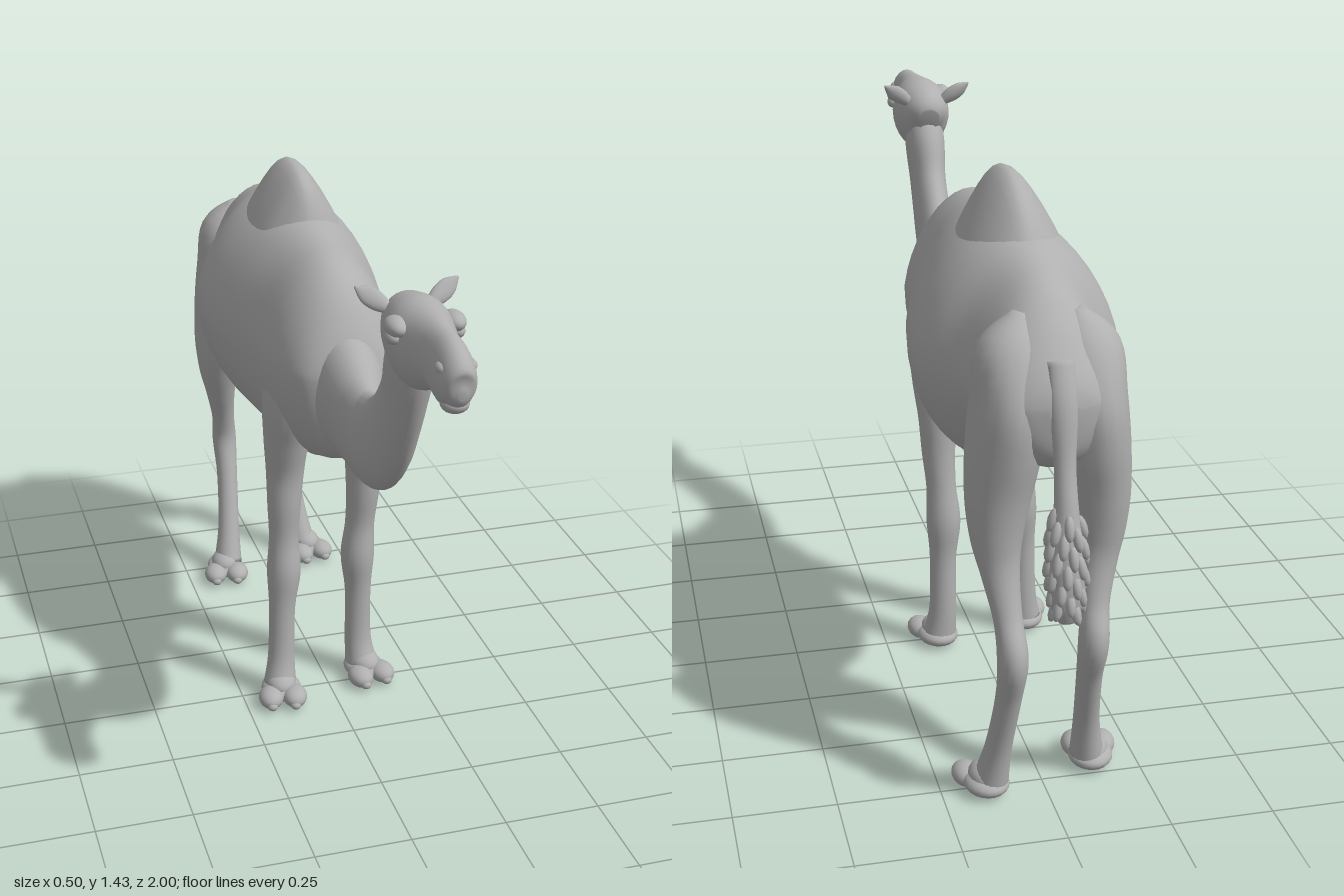
import * as THREE from 'three';

const coat = new THREE.MeshStandardMaterial({ color: 0xb0b0b0 });
coat.name = 'greyCoat';

// Smooth interpolation through the rows of a section table
function sampleRows(rows, t) {
  const f = t * (rows.length - 1), i = Math.min(Math.floor(f), rows.length - 2), u = f - i;
  const at = k => rows[Math.max(0, Math.min(rows.length - 1, k))];
  const [a, b, c, d] = [at(i - 1), at(i), at(i + 1), at(i + 2)];
  return b.map((v, k) => 0.5 * (2 * v + (c[k] - a[k]) * u + (2 * a[k] - 5 * v + 4 * c[k] - d[k]) * u * u
    + (3 * v - a[k] - 3 * c[k] + d[k]) * u * u * u));
}

// Closed loft. Row: x, y, z, half width, upper (or front) radius, lower (or back) radius
function loft(name, rows, { sides = 28, per = 5, pinch = 0 } = {}) {
  const n = (rows.length - 1) * per, pos = [], index = [];
  const rings = Array.from({ length: n + 1 }, (_, i) => sampleRows(rows, i / n));
  const centre = i => new THREE.Vector3(...rings[Math.max(0, Math.min(n, i))].slice(0, 3));
  for (let i = 0; i <= n; i++) {
    const c = centre(i), T = centre(i + 1).sub(centre(i - 1)).normalize();
    const X = new THREE.Vector3(1, 0, 0).addScaledVector(T, -T.x).normalize();
    const U = new THREE.Vector3().crossVectors(T, X);
    const [rx, up, down] = rings[i].slice(3).map(r => Math.max(r, 0.002));
    for (let j = 0; j < sides; j++) {
      const a = j / sides * Math.PI * 2, s = Math.sin(a);
      const p = c.clone().addScaledVector(X, rx * Math.cos(a) * (1 - pinch * Math.max(0, s)))
        .addScaledVector(U, s * (s > 0 ? up : down));
      pos.push(p.x, p.y, p.z);
    }
  }
  for (let i = 0; i < n; i++) for (let j = 0; j < sides; j++) {
    const k = (j + 1) % sides, a = i * sides + j, b = i * sides + k;
    index.push(a, b, b + sides, a, b + sides, a + sides);
  }
  const first = pos.length / 3, e = n * sides;
  pos.push(...centre(0).toArray(), ...centre(n).toArray());
  for (let j = 0; j < sides; j++) {
    const k = (j + 1) % sides;
    index.push(first, k, j, first + 1, e + j, e + k);
  }
  const g = new THREE.BufferGeometry();
  g.setAttribute('position', new THREE.Float32BufferAttribute(pos, 3));
  g.setIndex(index);
  g.computeVertexNormals();
  const mesh = new THREE.Mesh(g, coat);
  mesh.name = name;
  return mesh;
}

// Ellipsoid by centre and radii
function blob(name, [x, y, z], [rx, ry, rz], detail = 20) {
  const mesh = new THREE.Mesh(new THREE.SphereGeometry(1, detail, Math.ceil(detail * 0.6)), coat);
  mesh.name = name;
  mesh.position.set(x, y, z);
  mesh.scale.set(rx, ry, rz);
  return mesh;
}

// Broad two-toed foot
function foot(name, x, z, turn) {
  const g = new THREE.Group();
  g.name = name;
  g.add(blob('footPad', [0, 0.029, -0.015], [0.055, 0.029, 0.065]));
  g.add(blob('instep', [0, 0.045, -0.012], [0.042, 0.035, 0.052]));
  for (const s of [-1, 1]) {
    g.add(blob('toe', [s * 0.033, 0.028, 0.035], [0.034, 0.028, 0.045]));
    g.add(blob('toenail', [s * 0.032, 0.02, 0.07], [0.015, 0.013, 0.016], 12));
  }
  g.position.set(x, 0, z);
  g.rotation.y = turn;
  return g;
}

// Leg on one side; the lower part is moved by dx outwards and dz forwards for the stride
function leg(name, rows, side, dx, dz, footAt) {
  const g = new THREE.Group();
  g.name = name;
  const moved = rows.map(([x, y, z, ...r]) => {
    const t = 1 - THREE.MathUtils.smoothstep(y, 0.1, 0.95);
    return [side * (x + dx * t), y, z + dz * t, ...r];
  });
  g.add(loft('limb', moved, { sides: 20 }));
  g.add(foot('foot', side * (footAt[0] + dx), footAt[1] + dz, side * 0.15));
  return g;
}

const frontLeg = [
  [0.08, 1.12, 0, 0.02, 0.02, 0.02], [0.09, 1.05, 0, 0.065, 0.08, 0.07],
  [0.108, 0.9, 0, 0.068, 0.1, 0.08], [0.11, 0.78, -0.012, 0.06, 0.075, 0.065],
  [0.107, 0.68, -0.025, 0.051, 0.056, 0.054], [0.105, 0.58, -0.028, 0.045, 0.047, 0.047],
  [0.1, 0.48, -0.036, 0.04, 0.041, 0.042], [0.095, 0.38, -0.04, 0.046, 0.05, 0.047],
  [0.097, 0.27, -0.04, 0.036, 0.037, 0.036], [0.098, 0.12, -0.04, 0.037, 0.036, 0.036],
  [0.105, 0.04, -0.03, 0.045, 0.05, 0.045],
];
const backLeg = [
  [0.06, 1.2, -0.74, 0.02, 0.02, 0.02], [0.078, 1.12, -0.75, 0.085, 0.08, 0.09],
  [0.093, 1.0, -0.755, 0.085, 0.11, 0.135], [0.105, 0.88, -0.76, 0.085, 0.11, 0.125],
  [0.12, 0.77, -0.775, 0.074, 0.1, 0.09], [0.125, 0.68, -0.79, 0.06, 0.075, 0.065],
  [0.12, 0.6, -0.812, 0.045, 0.055, 0.042], [0.11, 0.5, -0.845, 0.034, 0.036, 0.034],
  [0.105, 0.41, -0.872, 0.036, 0.036, 0.048], [0.108, 0.3, -0.85, 0.031, 0.034, 0.034],
  [0.12, 0.15, -0.805, 0.032, 0.034, 0.036], [0.132, 0.04, -0.775, 0.042, 0.05, 0.05],
];

export function createModel() {
  const model = new THREE.Group();
  model.name = 'camel';

  // Torso, from rump to chest: z, half width, top, bottom
  const torso = [
    [-0.9, 0.03, 1.04, 0.98], [-0.885, 0.085, 1.08, 0.91], [-0.85, 0.13, 1.13, 0.87],
    [-0.79, 0.158, 1.195, 0.85], [-0.71, 0.162, 1.255, 0.83], [-0.61, 0.19, 1.285, 0.795],
    [-0.51, 0.238, 1.31, 0.735], [-0.4, 0.25, 1.32, 0.705], [-0.25, 0.228, 1.315, 0.7],
    [-0.1, 0.195, 1.297, 0.71], [0.04, 0.178, 1.277, 0.735], [0.13, 0.152, 1.22, 0.765],
    [0.19, 0.115, 1.13, 0.805], [0.22, 0.06, 1.05, 0.87],
  ].map(([z, w, top, bottom]) => [0, 1.02, z, w, top - 1.02, 1.02 - bottom]);
  model.add(loft('torso', torso, { sides: 40, pinch: 0.2 }));
  model.add(blob('chestPad', [0, 0.735, -0.07], [0.06, 0.045, 0.06]));

  // Hump: z, half width, top
  const hump = [
    [-0.59, 0.03, 1.23], [-0.55, 0.09, 1.3], [-0.5, 0.12, 1.365], [-0.43, 0.14, 1.412],
    [-0.35, 0.145, 1.427], [-0.26, 0.13, 1.412], [-0.215, 0.1, 1.375], [-0.185, 0.07, 1.3], [-0.17, 0.03, 1.23],
  ].map(([z, w, top]) => [0, 1.2, z, w, top - 1.2, 0.08]);
  model.add(loft('hump', hump, { pinch: 0.5 }));

  // Neck: y, z, half width, upper and lower radius
  const neck = [
    [0.97, 0.08, 0.1, 0.17, 0.17], [0.965, 0.2, 0.093, 0.153, 0.16], [0.942, 0.29, 0.068, 0.125, 0.138],
    [0.93, 0.37, 0.055, 0.123, 0.124], [0.958, 0.455, 0.053, 0.115, 0.115], [1.015, 0.525, 0.052, 0.104, 0.104],
    [1.085, 0.58, 0.05, 0.092, 0.092], [1.16, 0.625, 0.05, 0.083, 0.083], [1.25, 0.66, 0.055, 0.08, 0.08],
    [1.33, 0.69, 0.05, 0.06, 0.06],
  ].map(r => [0, ...r]);
  model.add(loft('neck', neck));

  // Head, from nape to lips
  const head = new THREE.Group();
  head.name = 'head';
  head.add(loft('skull', [
    [1.33, 0.6, 0.03, 0.03, 0.04], [1.34, 0.63, 0.06, 0.065, 0.07], [1.335, 0.69, 0.076, 0.088, 0.1],
    [1.33, 0.75, 0.077, 0.092, 0.112], [1.33, 0.81, 0.06, 0.088, 0.088], [1.33, 0.87, 0.047, 0.083, 0.066],
    [1.325, 0.93, 0.045, 0.083, 0.074], [1.315, 0.97, 0.042, 0.07, 0.06], [1.307, 0.99, 0.03, 0.045, 0.04],
    [1.305, 1, 0.008, 0.012, 0.012],
  ].map(r => [0, ...r])));
  head.add(blob('lowerLip', [0, 1.272, 0.955], [0.032, 0.022, 0.032]));
  for (const s of [-1, 1]) {
    head.add(blob('brow', [s * 0.066, 1.375, 0.755], [0.026, 0.022, 0.04]));
    head.add(blob('eye', [s * 0.073, 1.352, 0.757], [0.018, 0.017, 0.024], 14));
    head.add(blob('nostril', [s * 0.03, 1.355, 0.955], [0.016, 0.014, 0.022], 14));
    // Leaf-shaped ear pointing out and back
    const ear = new THREE.Group();
    ear.name = 'ear';
    ear.add(loft('earLeaf', [
      [0, 0, 0, 0.014, 0.014, 0.014], [0, 0.03, 0, 0.022, 0.012, 0.016],
      [0, 0.06, 0, 0.02, 0.008, 0.012], [0, 0.088, 0, 0.003, 0.003, 0.003],
    ].reverse(), { sides: 14 }));
    ear.position.set(s * 0.05, 1.375, 0.645);
    ear.rotation.set(-0.35, 0, -s * 0.92);
    head.add(ear);
  }
  model.add(head);

  // Legs, the right pair a little ahead of the left
  model.add(leg('leftFrontLeg', frontLeg, 1, 0, 0, [0.112, -0.005]));
  model.add(leg('rightFrontLeg', frontLeg, -1, 0.04, 0.045, [0.107, -0.005]));
  model.add(leg('leftBackLeg', backLeg, 1, 0, 0, [0.145, -0.755]));
  model.add(leg('rightBackLeg', backLeg, -1, -0.008, 0.065, [0.145, -0.755]));

  // Tail with a shaggy tuft of overlapping locks
  const tail = new THREE.Group();
  tail.name = 'tail';
  tail.add(loft('tailStem', [
    [1.12, -0.855, 0.03, 0.02, 0.02], [1.03, -0.89, 0.032, 0.03, 0.022], [0.9, -0.908, 0.025, 0.025, 0.022],
    [0.8, -0.925, 0.028, 0.03, 0.03], [0.73, -0.932, 0.036, 0.038, 0.038], [0.65, -0.938, 0.041, 0.044, 0.044],
    [0.58, -0.942, 0.038, 0.038, 0.036], [0.535, -0.942, 0.02, 0.02, 0.02],
  ].map(r => [0, ...r]), { sides: 16 }));
  for (let i = 0; i < 44; i++) {
    const t = i / 43, a = i * 2.4, r = 0.024 + 0.016 * Math.sin(Math.PI * (0.15 + 0.8 * t));
    const lock = blob('tuftLock', [Math.cos(a) * r, 0.78 - 0.225 * t, -0.928 - 0.015 * t + Math.sin(a) * r * 1.1],
      [0.012, 0.03, 0.013], 10);
    lock.rotation.set(-Math.sin(a) * 0.3, 0, Math.cos(a) * 0.3);
    tail.add(lock);
  }
  model.add(tail);
  return model;
}
